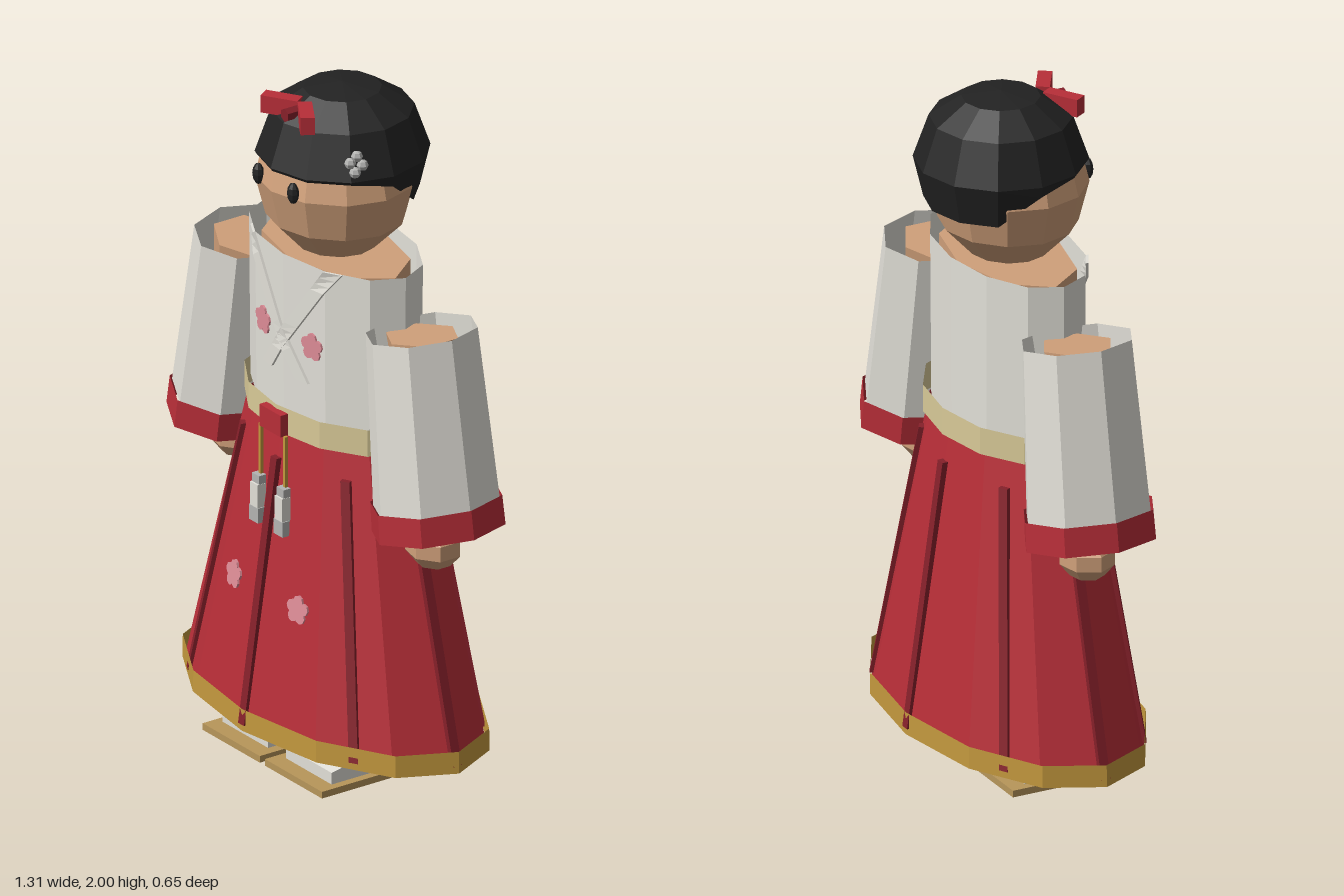
import * as THREE from 'three';
import { mergeGeometries } from 'three/addons/utils/BufferGeometryUtils.js';

const mat = (name, color) => {
  const m = new THREE.MeshStandardMaterial({ color, flatShading: true, side: THREE.DoubleSide });
  m.name = name;
  return m;
};

export function createModel() {
  const model = new THREE.Group();
  const white = mat('white cloth', 0xe2e0d8), red = mat('red cloth', 0xb82e38);
  const darkRed = mat('dark red', 0x86202a), gold = mat('gold', 0xc4993e);
  const cream = mat('cream', 0xd9ca98), skin = mat('skin', 0xd0a07a);
  const black = mat('black', 0x222222), pink = mat('pink', 0xdd8c96);
  const straw = mat('straw', 0xb8965a), silver = mat('silver', 0xb4b4b2);

  const add = (name, geo, material, x = 0, y = 0, z = 0, parent = model) => {
    const m = new THREE.Mesh(geo, material);
    m.name = name;
    m.position.set(x, y, z);
    parent.add(m);
    return m;
  };
  const box = (w, h, d) => new THREE.BoxGeometry(w, h, d);
  // Elliptical tube between two heights
  const tube = (y0, y1, r0, r1, depth, sides, open = true) =>
    new THREE.CylinderGeometry(r1, r0, y1 - y0, sides, 1, open)
      .scale(1, 1, depth).translate(0, (y0 + y1) / 2, 0);

  // Skirt radii at a height
  const skirtX = y => 0.57 - 0.24 * (y - 0.12) / 0.88;
  const skirtZ = y => 0.315 - 0.125 * (y - 0.12) / 0.88;
  // Depth of the front of a twelve-sided ellipse at x
  const frontZ = (x, rx, rz) => {
    const u = Math.abs(x) / rx;
    return rz * (u < 0.5 ? 1 - 0.268 * u : 0.866 - (u - 0.5));
  };
  // Moves the vertices of a geometry by a rule
  const reshape = (geo, rule) => {
    const p = geo.attributes.position, v = new THREE.Vector3();
    for (let i = 0; i < p.count; i++) {
      v.fromBufferAttribute(p, i);
      rule(v);
      p.setXYZ(i, v.x, v.y, v.z);
    }
    geo.computeVertexNormals();
    return geo;
  };

  // Body and head
  add('body', tube(0.85, 1.51, 0.27, 0.28, 0.56, 8, false), skin);
  add('head', new THREE.SphereGeometry(0.238, 12, 6).scale(1, 1, 0.93), skin, 0, 1.73, 0);

  // Hair cap, its rim drops at the back
  const hairProfile = [[0.215, 1.68], [0.244, 1.8], [0.2, 1.925], [0.11, 1.985], [0, 2]]
    .map(([r, y]) => new THREE.Vector2(r, y));
  add('hair', reshape(new THREE.LatheGeometry(hairProfile, 12), v => {
    if (v.y < 1.7 && v.z > -0.1) {
      const k = 0.238 / 0.215;
      v.set(v.x * k, v.z > 0.1 ? 1.79 : 1.768, v.z * k);
    }
  }), black, 0, 0, -0.022);
  for (const s of [-1, 1]) {
    add('eye', new THREE.SphereGeometry(1, 8, 6).scale(0.019, 0.032, 0.016), black, s * 0.082, 1.75, 0.205);
  }

  // Hair bow and ornament
  for (const s of [-1, 1]) {
    add('bowLoop', box(0.11, 0.052, 0.04), red, s * 0.058, 1.952, 0.143).rotation.y = -s * 0.55;
  }
  add('bowKnot', new THREE.CylinderGeometry(0.02, 0.02, 0.05, 6).rotateX(Math.PI / 2), darkRed, 0, 1.948, 0.15);
  for (const [dx, dy, dz] of [[0, 0.022, 0], [-0.012, 0, 0.014], [0.01, -0.004, -0.012], [0, -0.026, 0.006]]) {
    add('hairOrnament', new THREE.SphereGeometry(0.017, 6, 4), silver, 0.217 + dx, 1.858 + dy, 0.085 + dz);
  }

  // Shirt, crossed collar and waistband
  add('shirt', tube(1.04, 1.53, 0.325, 0.33, 0.545, 12), white);
  for (const s of [-1, 1]) {
    const strip = box(0.045, 0.44, 0.008).toNonIndexed();
    strip.dispose();
    const collar = new THREE.BoxGeometry(0.05, 0.36, 0.008, 1, 16, 1);
    add('collar', reshape(collar, v => {
      v.x += s * (0.055 + 0.27 * v.y / 0.36);
      v.z += frontZ(v.x, 0.33, 0.18) + 0.004;
    }), white, 0, 1.35, 0);
  }
  add('waistband', tube(1, 1.08, 0.335, 0.335, 0.61, 12), cream);
  add('buckle', box(0.1, 0.065, 0.025), red, 0, 1.035, 0.212);

  // Cords with tassels
  for (const s of [-1, 1]) {
    const x = s * 0.058;
    add('cord', box(0.01, 0.16, 0.01), gold, x, 0.925, 0.213);
    add('tasselCap', box(0.034, 0.03, 0.024), silver, x, 0.838, 0.22);
    add('tasselBody', box(0.036, 0.075, 0.028), white, x, 0.79, 0.224);
    add('tasselTip', box(0.042, 0.045, 0.024), silver, x, 0.735, 0.227);
  }

  // Skirt with hem
  add('skirt', tube(0.12, 1, 0.57, 0.33, 0.56, 12), red);
  add('hem', tube(0.12, 0.185, 0.582, 0.58, 0.55, 12), gold);

  // Eight pleats that follow the skirt
  for (let i = 0; i < 8; i++) {
    const a = i * Math.PI / 4, f = i % 2 ? 0.97 : 1;
    const sin = Math.sin(a), cos = Math.cos(a);
    add('pleat', reshape(box(0.028, 0.78, 0.022), v => {
      const y = v.y + 0.53, rx = skirtX(y) * f, rz = skirtZ(y) * f;
      const t = new THREE.Vector2(cos * rx, -sin * rz).normalize();
      v.set(sin * rx + t.x * v.x - t.y * v.z, y, cos * rz + t.y * v.x + t.x * v.z);
    }), darkRed);
  }

  // Five-petalled flowers on shirt and skirt
  const disc = r => new THREE.CylinderGeometry(r, r, 0.007, 8).rotateX(Math.PI / 2);
  const petals = [disc(0.02)];
  for (let i = 0; i < 5; i++) {
    const a = i * Math.PI * 0.4;
    petals.push(disc(0.018).translate(Math.sin(a) * 0.024, Math.cos(a) * 0.024, 0));
  }
  const flower = mergeGeometries(petals);
  for (const s of [-1, 1]) {
    add('shirtFlower', flower, pink, s * 0.115, 1.285, frontZ(0.115, 0.327, 0.178) + 0.003).rotation.y = s * 0.145;
    const z = frontZ(0.15, skirtX(0.52), skirtZ(0.52));
    add('skirtFlower', flower, pink, s * 0.15, 0.52, z + 0.003).rotation.set(-0.14, s * 0.15, 0);
  }

  // Arms with wide sleeves, and legs with socks and sandals
  const sockShape = new THREE.Shape([[0.2, 0.01], [0.2, 0.055], [-0.085, 0.112], [-0.085, 0.01]]
    .map(([z, y]) => new THREE.Vector2(-z, y)));
  const sock = new THREE.ExtrudeGeometry(sockShape, { depth: 0.215, bevelEnabled: false })
    .translate(0, 0, -0.1075).rotateY(Math.PI / 2);
  for (const s of [-1, 1]) {
    const arm = new THREE.Group();
    arm.name = s > 0 ? 'leftArm' : 'rightArm';
    arm.position.set(s * 0.405, 1.4, 0);
    arm.rotation.z = s * 0.14;
    model.add(arm);
    add('sleeve', tube(-0.5, 0, 0.163, 0.144, 1.16, 8), white, 0, 0, 0, arm);
    add('cuff', tube(-0.575, -0.49, 0.17, 0.168, 1.18, 8), red, 0, 0, 0, arm);
    add('armSkin', tube(-0.6, -0.015, 0.06, 0.115, 0.9, 6, false), skin, 0, 0, 0, arm);
    add('hand', new THREE.SphereGeometry(0.09, 7, 5).scale(1, 0.8, 0.9), skin, s * 0.463, 0.776, 0);

    add('leg', tube(0.06, 0.88, 0.08, 0.095, 1, 8, false), skin, s * 0.15, 0, 0);
    add('sock', sock, white, s * 0.15, 0, 0);
    add('sandal', box(0.27, 0.02, 0.385), straw, s * 0.147, 0.01, 0.058);
  }
  return model;
}
